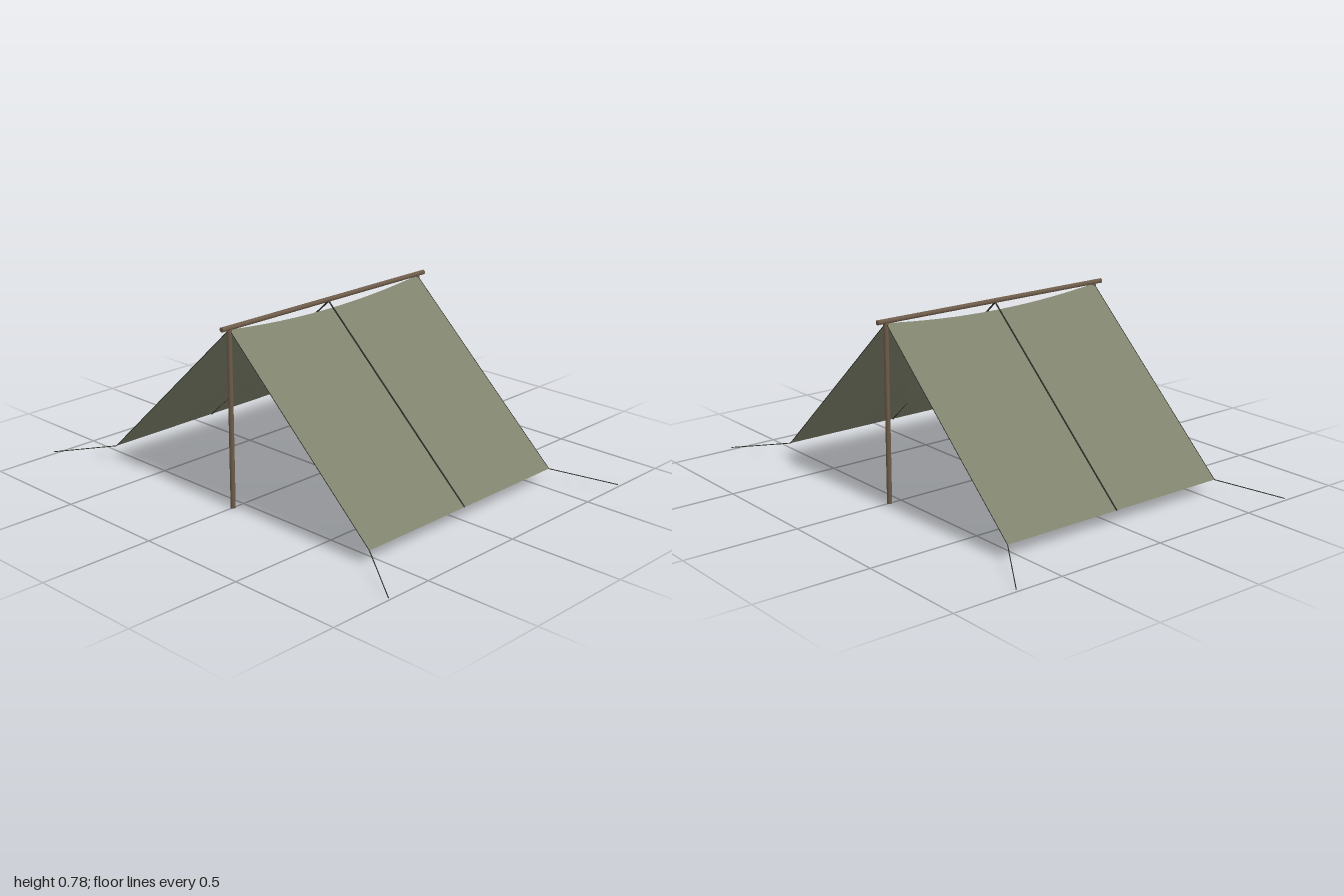
import * as THREE from 'three';

const RIDGE_Y = 0.76, EAVE_X = 0.757, EAVE_Y = 0.06, HALF_LENGTH = 0.557;

export function createModel() {
  const tent = new THREE.Group();
  tent.name = 'ridgeTent';

  const canvas = new THREE.MeshStandardMaterial({ color: 0x7f836d, side: THREE.DoubleSide });
  canvas.name = 'olive canvas';
  const wood = new THREE.MeshStandardMaterial({ color: 0x6e5c4a });
  wood.name = 'brown wood';
  const cord = new THREE.MeshStandardMaterial({ color: 0x2f302a });
  cord.name = 'dark cord';

  // Straight round bar between two points
  const bar = (name, a, b, radius, material, sides) => {
    const from = new THREE.Vector3(...a), to = new THREE.Vector3(...b);
    const direction = to.clone().sub(from);
    const mesh = new THREE.Mesh(
      new THREE.CylinderGeometry(radius, radius, direction.length(), sides), material);
    mesh.position.copy(from).add(to).multiplyScalar(0.5);
    mesh.quaternion.setFromUnitVectors(new THREE.Vector3(0, 1, 0), direction.normalize());
    mesh.name = name;
    tent.add(mesh);
  };

  // Canvas slope: sagging along the ridge, soft folds running downhill
  const slope = (side) => {
    const geometry = new THREE.PlaneGeometry(1, 2 * HALF_LENGTH, 16, 48);
    const p = geometry.attributes.position;
    for (let i = 0; i < p.count; i++) {
      const u = p.getX(i) + 0.5, z = p.getY(i);
      const t = z / HALF_LENGTH;
      const sag = 0.034 * (1 - t * t) * (1 - u);
      const fold = 0.003 * Math.sin(Math.PI * u) * (1 - t * t)
        * (Math.sin(31 * z + 0.6) + 0.5 * Math.sin(17 * z + 3 * u));
      const y = THREE.MathUtils.lerp(RIDGE_Y, EAVE_Y, u) - sag + fold;
      p.setXYZ(i, side * u * EAVE_X, y, side * -z);
    }
    geometry.computeVertexNormals();
    const mesh = new THREE.Mesh(geometry, canvas);
    mesh.name = side > 0 ? 'leftCanvas' : 'rightCanvas';
    tent.add(mesh);
  };

  // Poles
  bar('ridgePole', [0, 0.767, -0.598], [0, 0.767, 0.598], 0.0105, wood, 10);
  for (const end of [1, -1]) {
    bar(end > 0 ? 'frontPole' : 'backPole',
      [0, 0, end * 0.557], [0, 0.767, end * 0.557], 0.0105, wood, 10);
  }

  // Canvas halves with centre seams, edge hems and guy lines
  for (const side of [1, -1]) {
    slope(side);
    bar('centreSeam', [0, RIDGE_Y, 0], [side * EAVE_X, EAVE_Y, 0], 0.0035, cord, 6);
    for (const end of [1, -1]) {
      const corner = [side * EAVE_X, EAVE_Y, end * HALF_LENGTH];
      bar('edgeHem', [0, RIDGE_Y, end * HALF_LENGTH], corner, 0.0015, cord, 6);
      bar('guyLine', corner, [side, 0.01, end * 0.718], 0.002, cord, 6);
    }
  }
  return tent;
}
